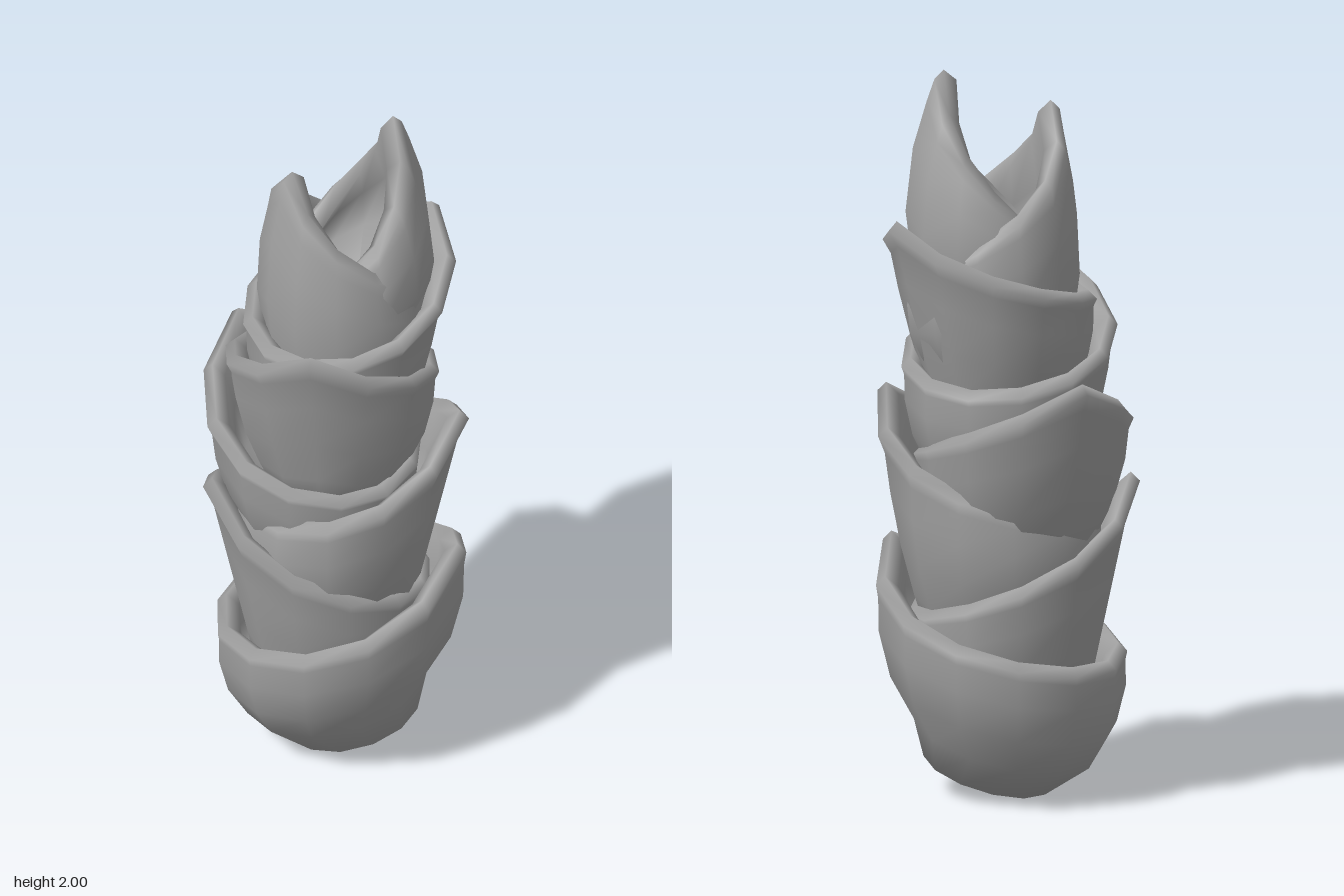
import * as THREE from 'three';

const SEGMENTS = 12;
const material = new THREE.MeshStandardMaterial({ color: 0xa2a2a2, side: THREE.DoubleSide });

// One cup-shaped sheath: an outer wall flaring to a peaked rim, a rolled edge and a hollow inside.
// The wall bulges by tipBulge below the peak and by sideBulge elsewhere.
function sheath({ tip, center, y0, r0, R, low, tipBulge, sideBulge, sharp = 1.8, tilt = 0, lean = 0 }) {
  const [cx, cz] = center;
  const dx = tip[0] - cx, dz = tip[2] - cz;
  const tipAngle = Math.atan2(dz, dx), tipRadius = Math.hypot(dx, dz);
  const positions = [], index = [];

  // Radius/height pairs running from the base centre, over the rim, to the inner floor
  const profile = (d) => {
    const peak = Math.pow(1 - d / Math.PI, sharp);
    const top = low + (tip[1] - low) * peak;
    const rim = R + (tipRadius - R) * peak;
    const base = y0 + tilt * Math.cos(d);
    const bulge = sideBulge + (tipBulge - sideBulge) * peak;
    const wall = (t) => [
      r0 + (rim - r0) * t + bulge * Math.sin(t * Math.PI),
      base + (top - base) * t,
    ];
    const floor = wall(0.5);
    return [
      [0, y0], wall(0), wall(0.22), wall(0.45), wall(0.7), wall(0.88),
      [rim + 0.01, top - 0.025], [rim - 0.015, top], [rim - 0.05, top - 0.03],
      [wall(0.75)[0] - 0.06, wall(0.75)[1]], [floor[0] - 0.06, floor[1]],
      [0, y0 + (low - y0) * 0.5],
    ];
  };

  const rings = profile(0).length;
  for (let i = 0; i < SEGMENTS; i++) {
    const a = (i / SEGMENTS) * Math.PI * 2;
    const d = Math.min(a, Math.PI * 2 - a);
    profile(d).forEach(([r, y], k) => {
      // The foot sits slightly off centre, towards the peak
      const shift = k < 2 ? lean : 0;
      positions.push(
        cx + r * Math.cos(a + tipAngle) + shift * Math.cos(tipAngle), y,
        cz + r * Math.sin(a + tipAngle) + shift * Math.sin(tipAngle));
    });
    const next = (i + 1) % SEGMENTS;
    for (let k = 0; k < rings - 1; k++) {
      const p = i * rings + k, q = next * rings + k;
      if (k > 0) index.push(p, p + 1, q);
      if (k < rings - 2) index.push(p + 1, q + 1, q);
    }
  }
  const geometry = new THREE.BufferGeometry();
  geometry.setAttribute('position', new THREE.Float32BufferAttribute(positions, 3));
  geometry.setIndex(index);
  geometry.computeVertexNormals();
  return geometry;
}

// Sheaths from the ground up, their peaks turning around the stem
const SHEATHS = [
  { tip: [0.22, 0.68, 0.29], center: [-0.01, 0.02], y0: 0.05, r0: 0.17, R: 0.31, low: 0.39, tipBulge: 0.07, sideBulge: 0.06, tilt: 0.05, lean: 0.06 },
  { tip: [-0.32, 0.88, -0.13], center: [-0.02, -0.01], y0: 0.2, r0: 0.18, R: 0.28, low: 0.52, tipBulge: 0, sideBulge: 0.05, sharp: 1.6 },
  { tip: [0.25, 1.1, 0.26], center: [0.02, 0.03], y0: 0.42, r0: 0.18, R: 0.265, low: 0.8, tipBulge: 0, sideBulge: 0.07 },
  { tip: [-0.06, 1.2, -0.365], center: [-0.02, -0.03], y0: 0.6, r0: 0.14, R: 0.26, low: 0.93, tipBulge: 0.035, sideBulge: 0.05 },
  { tip: [-0.225, 1.45, 0.21], center: [0, 0], y0: 0.82, r0: 0.16, R: 0.27, low: 1.17, tipBulge: 0.005, sideBulge: 0.05 },
  { tip: [0.34, 1.61, 0], center: [0.02, 0.01], y0: 1.02, r0: 0.16, R: 0.25, low: 1.38, tipBulge: 0.005, sideBulge: 0.035 },
  { tip: [-0.135, 1.9, -0.02], center: [0.025, 0.005], y0: 1.15, r0: 0.17, R: 0.235, low: 1.45, tipBulge: 0.055, sideBulge: 0.045, sharp: 1.25 },
  { tip: [0.18, 2, 0.05], center: [0.06, 0.02], y0: 1.3, r0: 0.15, R: 0.18, low: 1.5, tipBulge: 0.075, sideBulge: 0.055, sharp: 1.35 },
];

export function createModel() {
  const group = new THREE.Group();
  group.name = 'bambooShoot';
  SHEATHS.forEach((spec, i) => {
    const mesh = new THREE.Mesh(sheath(spec), material);
    mesh.name = `sheath${i + 1}`;
    group.add(mesh);
  });
  return group;
}
